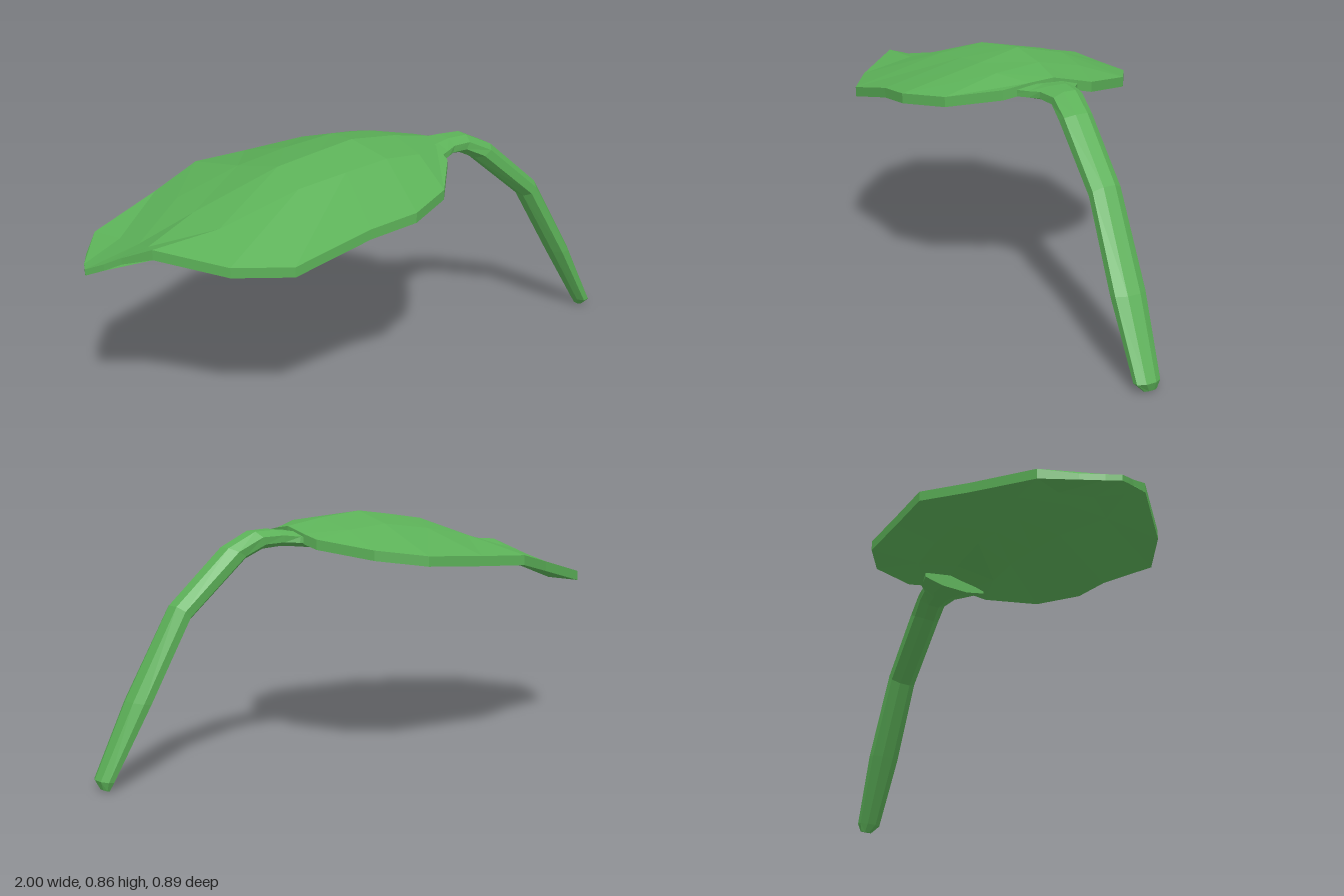
import * as THREE from 'three';

// Skin a row of closed rings (each listed -z, over the top, +z, underneath) and cap both ends
function loft(rings) {
  const n = rings[0].length;
  const pos = rings.flat(2);
  const idx = [];
  for (let s = 0; s < rings.length - 1; s++) {
    for (let i = 0; i < n; i++) {
      const a = s * n + i, b = s * n + (i + 1) % n;
      idx.push(a, b, a + n, b, b + n, a + n);
    }
  }
  const e = (rings.length - 1) * n;
  for (let i = 0; i < n / 2 - 1; i++) {
    const [p, q, r, t] = [i, i + 1, n - 2 - i, n - 1 - i];
    idx.push(e + p, e + q, e + r, e + p, e + r, e + t);
    idx.push(p, r, q, p, t, r);
  }
  const g = new THREE.BufferGeometry();
  g.setAttribute('position', new THREE.Float32BufferAttribute(pos, 3));
  g.setIndex(idx);
  const flat = g.toNonIndexed();
  flat.computeVertexNormals();
  return flat;
}

// Leaf blade: each row runs back edge, back slope, midrib, front slope, front edge
function bladeGeometry() {
  const rows = [
    [[-0.94, 0.575, -0.21], [-0.98, 0.575, -0.14], [-1, 0.58, -0.09], [-0.96, 0.61, -0.03], [-0.92, 0.64, 0.02]],
    [[-0.86, 0.6, -0.31], [-0.82, 0.605, -0.2], [-0.82, 0.635, -0.06], [-0.84, 0.67, 0.05], [-0.86, 0.69, 0.12]],
    [[-0.59, 0.665, -0.38], [-0.6, 0.7, -0.2], [-0.63, 0.712, -0.03], [-0.63, 0.712, 0.14], [-0.69, 0.655, 0.31]],
    [[-0.39, 0.71, -0.45], [-0.36, 0.765, -0.2], [-0.32, 0.815, 0], [-0.34, 0.79, 0.16], [-0.52, 0.655, 0.42]],
    [[-0.2, 0.72, -0.425], [-0.18, 0.8, -0.18], [-0.16, 0.84, 0.01], [-0.16, 0.812, 0.17], [-0.24, 0.718, 0.43]],
    [[0.03, 0.735, -0.395], [0, 0.825, -0.15], [-0.03, 0.858, 0.015], [0, 0.83, 0.18], [-0.07, 0.74, 0.445]],
    [[0.18, 0.757, -0.29], [0.15, 0.812, -0.13], [0.14, 0.842, 0.03], [0.13, 0.822, 0.19], [0.1, 0.757, 0.37]],
    [[0.27, 0.785, -0.1], [0.275, 0.8, -0.04], [0.27, 0.82, 0.05], [0.25, 0.808, 0.13], [0.23, 0.79, 0.22]],
  ];
  return loft(rows.map((row, s) => {
    const thick = s === 0 ? 0.022 : 0.035;
    return [...row, ...row.map(([x, y, z]) => [x, y - thick, z]).reverse()];
  }));
}

// Stem: top x, top y, bottom x, bottom y, centre z, half width
function stemGeometry() {
  const stations = [
    [0.2, 0.8, 0.2, 0.745, 0.06, 0.13],
    [0.28, 0.805, 0.29, 0.755, 0.06, 0.095],
    [0.33, 0.812, 0.32, 0.755, 0.068, 0.068],
    [0.41, 0.81, 0.38, 0.75, 0.075, 0.055],
    [0.51, 0.76, 0.44, 0.72, 0.092, 0.053],
    [0.71, 0.58, 0.66, 0.53, 0.115, 0.052],
    [0.88, 0.28, 0.81, 0.27, 0.13, 0.056],
    [1, 0.035, 0.95, 0.03, 0.142, 0.043],
    [0.99, 0.005, 0.97, 0, 0.133, 0.022],
  ];
  return loft(stations.map(([tx, ty, bx, by, z, hw]) => {
    const ring = [];
    for (let i = 0; i < 8; i++) {
      // slightly boxy octagon
      const a = (i + 0.5) * Math.PI / 4;
      const c = Math.cos(a) / Math.cos(Math.PI / 8), u = Math.sin(a) / Math.cos(Math.PI / 8);
      const t = (u + 1) / 2;
      ring.push([bx + (tx - bx) * t, by + (ty - by) * t, z - c * hw]);
    }
    return ring;
  }));
}

export function createModel() {
  const group = new THREE.Group();
  group.name = 'leaf';
  const green = new THREE.MeshStandardMaterial({ color: 0x5cb158 });
  green.name = 'leaf green';

  const blade = new THREE.Mesh(bladeGeometry(), green);
  blade.name = 'leafBlade';
  const stem = new THREE.Mesh(stemGeometry(), green);
  stem.name = 'stem';
  group.add(blade, stem);
  return group;
}
